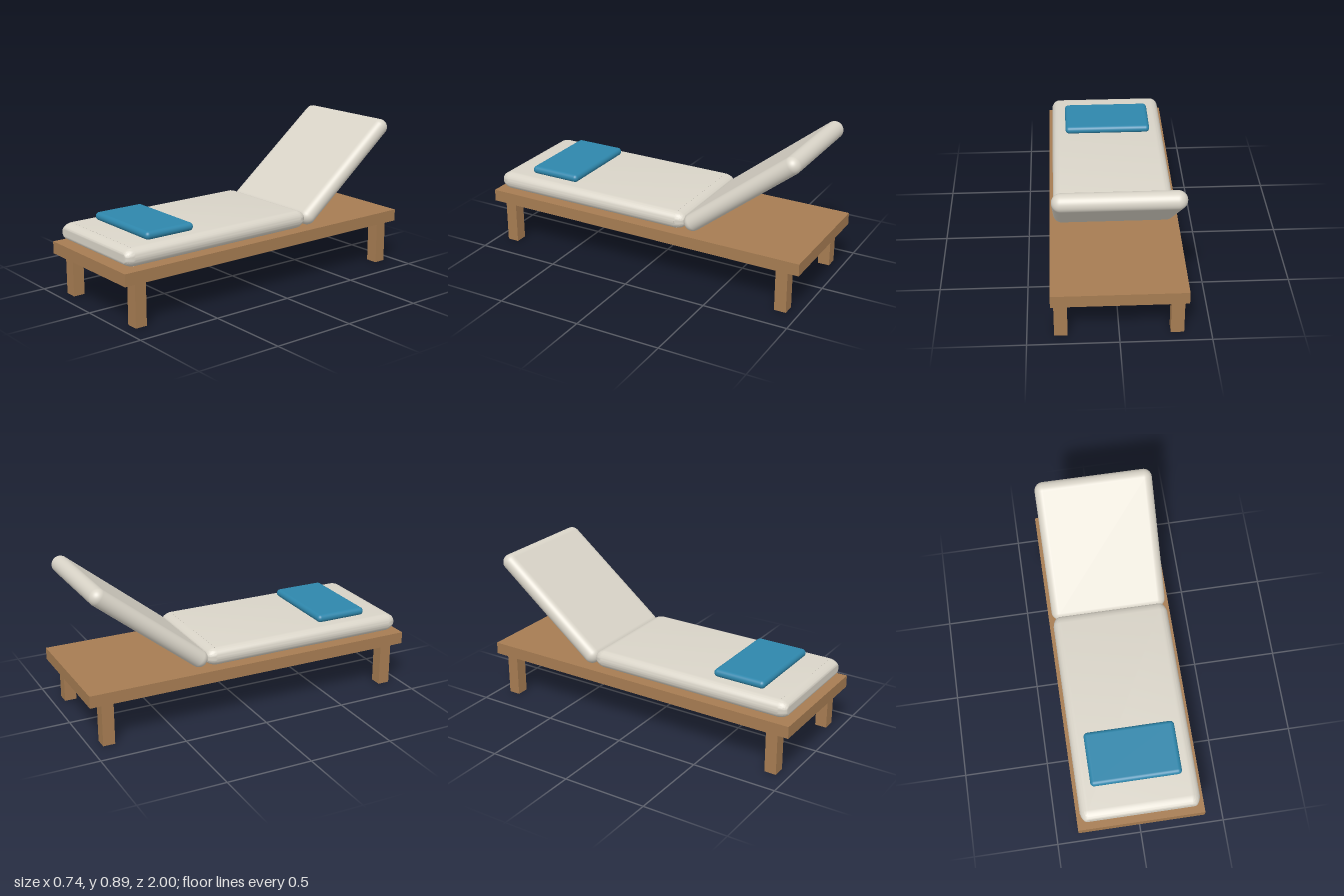
import * as THREE from 'three';
import { RoundedBoxGeometry } from 'three/addons/geometries/RoundedBoxGeometry.js';
import { mergeVertices, toCreasedNormals } from 'three/addons/utils/BufferGeometryUtils.js';

const wood = new THREE.MeshStandardMaterial({ name: 'wood', color: 0xa67c52 });
const fabric = new THREE.MeshStandardMaterial({ name: 'cushionFabric', color: 0xd9d4c8 });
const blue = new THREE.MeshStandardMaterial({ name: 'blueFabric', color: 0x2e86ab });

// Rounded slab whose z ends are stretched and cut to a flat band
function bluntCushion(w, h, d, r, stretch) {
  const geo = new RoundedBoxGeometry(w, h, d, 6, r);
  geo.deleteAttribute('normal');
  geo.deleteAttribute('uv');
  const pos = geo.attributes.position;
  const core = d / 2 - r;
  for (let i = 0; i < pos.count; i++) {
    const z = pos.getZ(i);
    const t = (Math.abs(z) - core) / r;
    if (t > 0) pos.setZ(i, Math.sign(z) * (core - (stretch - r) + stretch * Math.min(1, t / 0.866)));
  }
  return toCreasedNormals(mergeVertices(geo, 1e-5), 0.6);
}

export function createModel() {
  const group = new THREE.Group();
  const add = (name, geo, mat, x, y, z) => {
    const mesh = new THREE.Mesh(geo, mat);
    mesh.name = name;
    mesh.position.set(x, y, z);
    group.add(mesh);
    return mesh;
  };

  // Wooden platform and legs
  add('platform', new THREE.BoxGeometry(0.736, 0.071, 2), wood, 0, 0.2855, 0);
  const legGeo = new THREE.BoxGeometry(0.073, 0.25, 0.07);
  for (const x of [1, -1]) {
    for (const z of [1, -1]) {
      add((z > 0 ? 'front' : 'back') + (x > 0 ? 'Left' : 'Right') + 'Leg', legGeo, wood, x * 0.316, 0.125, z * 0.895);
    }
  }

  // Flat seat cushion
  add('seatCushion', bluntCushion(0.692, 0.104, 1.245, 0.05, 0.062), fabric, 0, 0.381, 0.3425);

  // Raised backrest cushion
  const back = add('backrest', new RoundedBoxGeometry(0.692, 0.1, 0.84, 6, 0.0498), fabric, 0, 0.613, -0.615);
  back.rotation.x = 0.671;

  // Small pillow at the foot end
  add('pillow', new RoundedBoxGeometry(0.526, 0.047, 0.316, 5, 0.0234), blue, 0, 0.4565, 0.631);

  return group;
}
